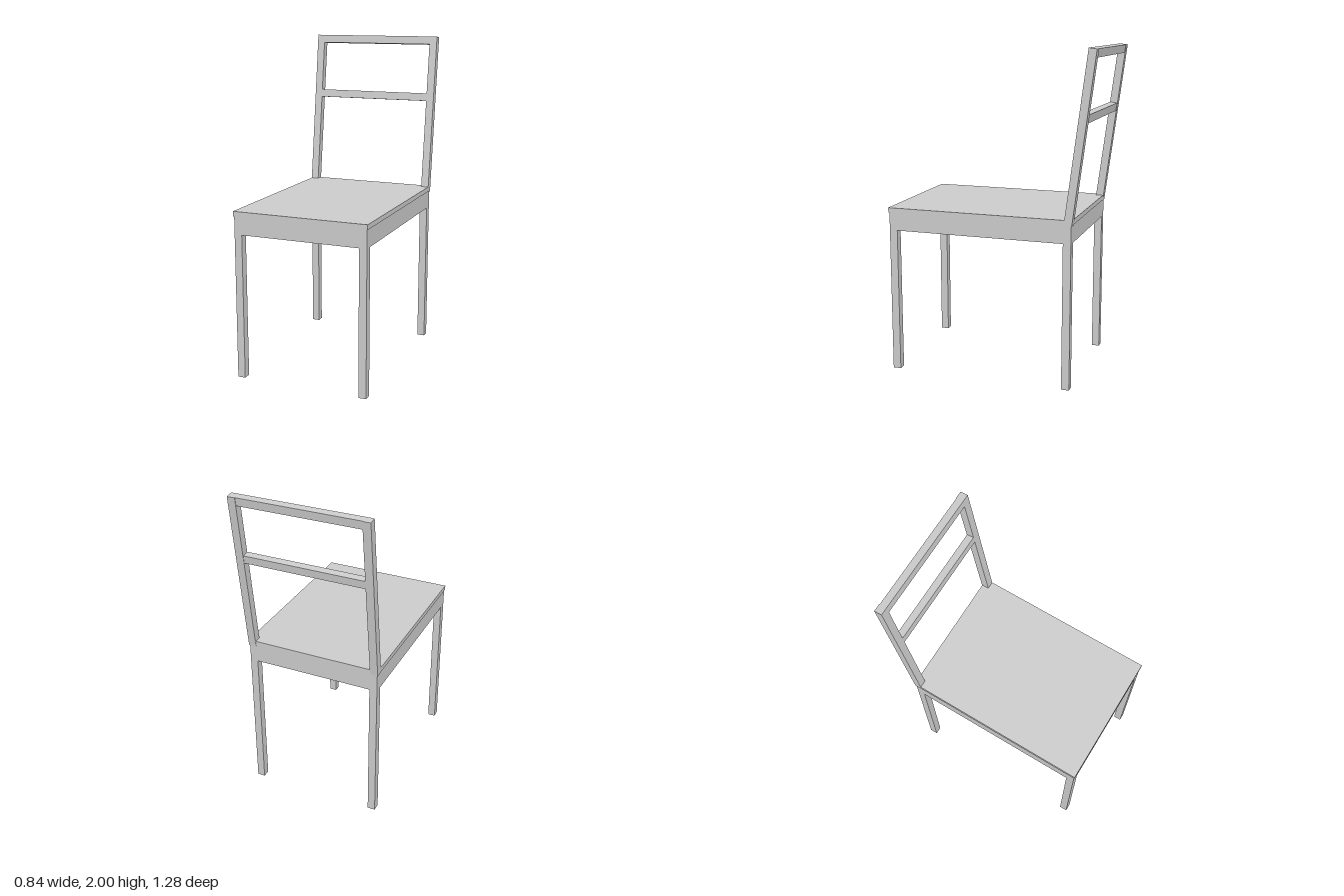
import * as THREE from 'three';

export function createModel() {
  const chair = new THREE.Group();
  chair.name = 'chair';
  const material = new THREE.MeshStandardMaterial({ color: 0xcccccc, flatShading: true });

  // Box given by its minimum and maximum on each axis
  function bar(parent, name, [x0, x1], [y0, y1], [z0, z1]) {
    const mesh = new THREE.Mesh(new THREE.BoxGeometry(x1 - x0, y1 - y0, z1 - z0), material);
    mesh.position.set((x0 + x1) / 2, (y0 + y1) / 2, (z0 + z1) / 2);
    mesh.name = name;
    parent.add(mesh);
  }

  const outer = 0.415, inner = 0.368;
  const front = [0.586, 0.635], rear = [-0.505, -0.457];
  const apronY = [0.89, 1.0];

  // Seat board
  bar(chair, 'seat', [-0.42, 0.42], [1.0, 1.03], [-0.51, 0.64]);

  // Legs and side aprons, mirrored left and right
  for (const [side, x] of [['left', [inner, outer]], ['right', [-outer, -inner]]]) {
    bar(chair, side + 'FrontLeg', x, [0, 1.0], front);
    bar(chair, side + 'RearLeg', x, [0, 1.0], rear);
    bar(chair, side + 'Apron', x, apronY, [rear[1], front[0]]);
  }

  // Front and rear aprons between the legs
  bar(chair, 'frontApron', [-inner, inner], apronY, front);
  bar(chair, 'rearApron', [-inner, inner], apronY, rear);

  // Backrest frame, leaning backwards from the rear of the seat
  const lean = Math.atan(0.129);
  const height = 1 / Math.cos(lean);
  const backrest = new THREE.Group();
  backrest.name = 'backrest';
  backrest.position.set(0, 1.0, -0.461);
  backrest.rotation.x = -lean;
  chair.add(backrest);

  bar(backrest, 'leftPost', [0.372, 0.42], [0, height], [-0.048, 0]);
  bar(backrest, 'rightPost', [-0.42, -0.372], [0, height], [-0.048, 0]);
  bar(backrest, 'topRail', [-0.372, 0.372], [height - 0.05, height], [-0.045, 0]);
  bar(backrest, 'middleRail', [-0.372, 0.372], [0.592, 0.641], [-0.045, 0]);

  return chair;
}
